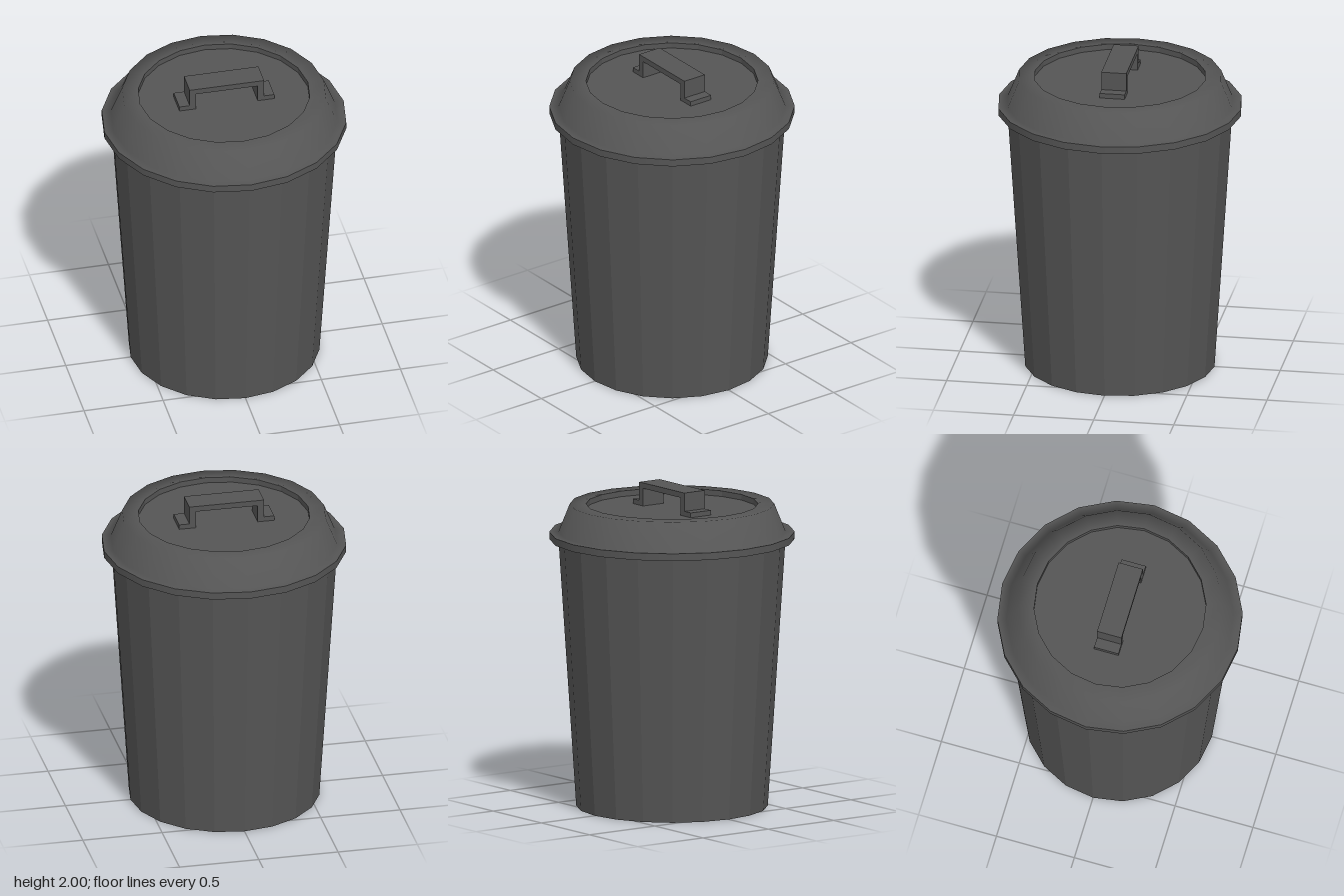
import * as THREE from 'three';

const SIDES = 20;

export function createModel() {
  const model = new THREE.Group();
  const smooth = new THREE.MeshStandardMaterial({ color: 0x555555 });
  const flat = new THREE.MeshStandardMaterial({ color: 0x555555, flatShading: true });

  const add = (name, geometry, material) => {
    const mesh = new THREE.Mesh(geometry, material);
    mesh.name = name;
    model.add(mesh);
    return mesh;
  };
  const lathe = (points) =>
    new THREE.LatheGeometry(points.map(([r, y]) => new THREE.Vector2(r, y)), SIDES);

  // Tapered, faceted bin
  add('body', new THREE.CylinderGeometry(0.7, 0.59, 1.68, SIDES), flat).position.y = 0.84;

  // Lid: overhanging rim, soft shoulder, sunken top
  add('lidUnderside', lathe([[0.6, 1.67], [0.756, 1.67]]), flat);
  add('lidRim', lathe([[0.756, 1.67], [0.756, 1.715]]), smooth);
  add('lidShoulder', lathe([[0.756, 1.715], [0.7, 1.715], [0.63, 1.89], [0.53, 1.89]]), smooth);
  add('lidRecess', lathe([[0.53, 1.89], [0.53, 1.855], [0, 1.855]]), flat);

  // Handle: strap with outward feet, half profile mirrored
  const half = [[0.195, 1.855], [0.3, 1.855], [0.3, 1.885], [0.235, 1.885], [0.235, 2]];
  const outline = [
    [0.195, 1.965],
    ...half,
    ...half.slice().reverse().map(([x, y]) => [-x, y]),
    [-0.195, 1.965],
  ];
  const strap = new THREE.Shape(outline.map(([x, y]) => new THREE.Vector2(x, y)));
  const handle = new THREE.ExtrudeGeometry(strap, { depth: 0.156, bevelEnabled: false });
  add('handle', handle.translate(0, 0, -0.078), flat);

  return model;
}
